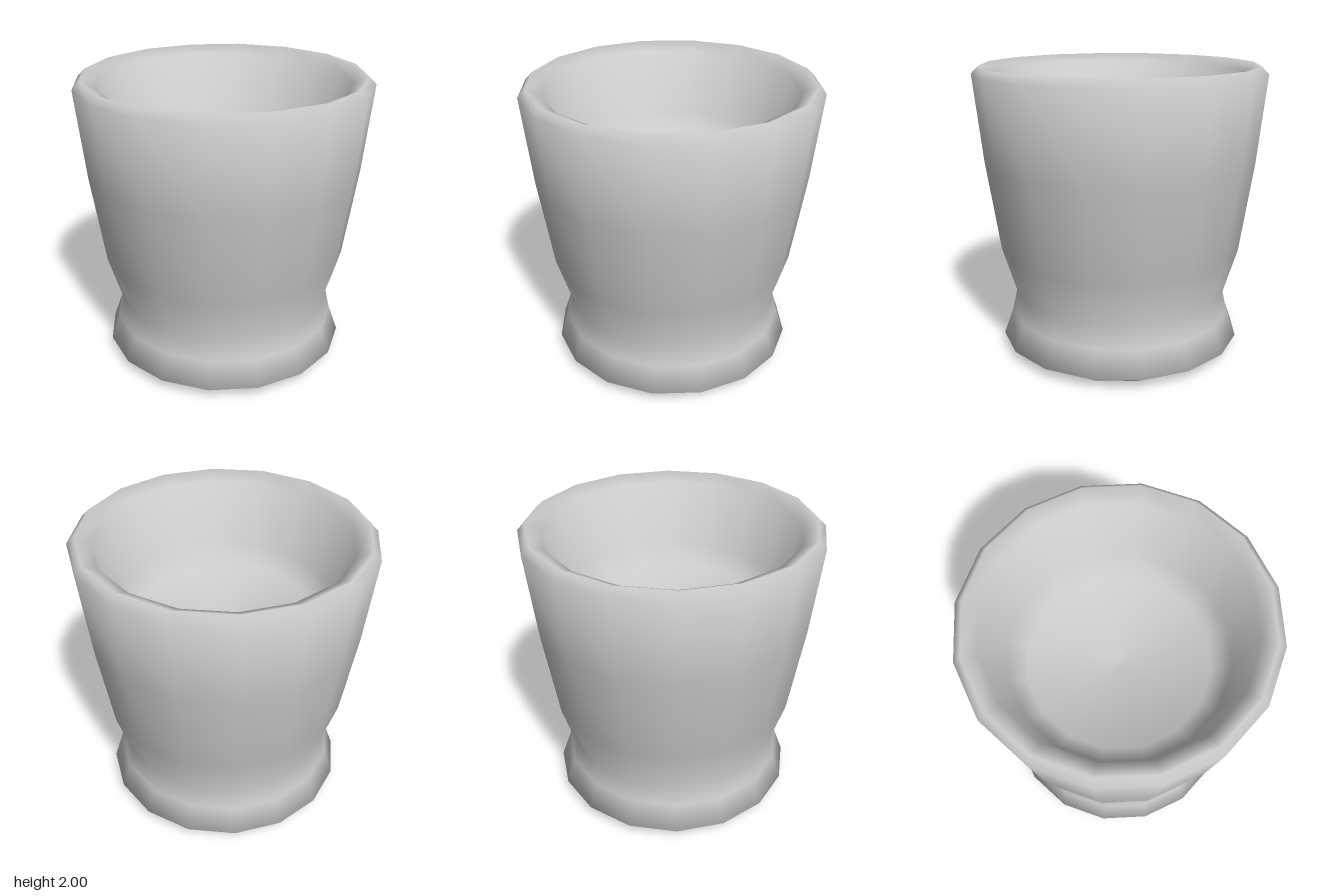
import * as THREE from 'three';

const SIDES = 16;

// Lathe whose smooth normals weigh neighbouring bands equally, so short bevels stay soft
function softLathe(points) {
  const geometry = new THREE.LatheGeometry(points, SIDES);
  const bands = points.slice(1).map((p, i) => {
    const d = p.clone().sub(points[i]).normalize();
    return new THREE.Vector2(d.y, -d.x);
  });
  const normals = points.map((_, i) => {
    const below = bands[Math.max(i - 1, 0)];
    const above = bands[Math.min(i, bands.length - 1)];
    return below.clone().add(above).normalize();
  });
  for (let s = 0; s <= SIDES; s++) {
    const a = (s / SIDES) * Math.PI * 2;
    normals.forEach((n, j) => geometry.attributes.normal.setXYZ(
      s * points.length + j, n.x * Math.sin(a), n.y, n.x * Math.cos(a)));
  }
  return geometry;
}

export function createModel() {
  const group = new THREE.Group();
  group.name = 'cup';

  // Closed profile: underside, flared foot, waist, outer wall, rim, shallow bowl
  const profile = [
    [0, 0], [0.74, 0],
    [0.855, 0.07], [0.79, 0.25], [0.755, 0.4],
    [0.85, 0.72], [0.94, 1.35], [1, 1.95],
    [0.95, 2], [0.85, 1.95],
    [0.74, 1.5], [0.62, 1.38], [0, 1.32],
  ].map(([r, y]) => new THREE.Vector2(r, y));

  const cup = new THREE.Mesh(
    softLathe(profile),
    new THREE.MeshStandardMaterial({ color: 0xcccccc }),
  );
  cup.name = 'cupBody';
  group.add(cup);
  return group;
}
